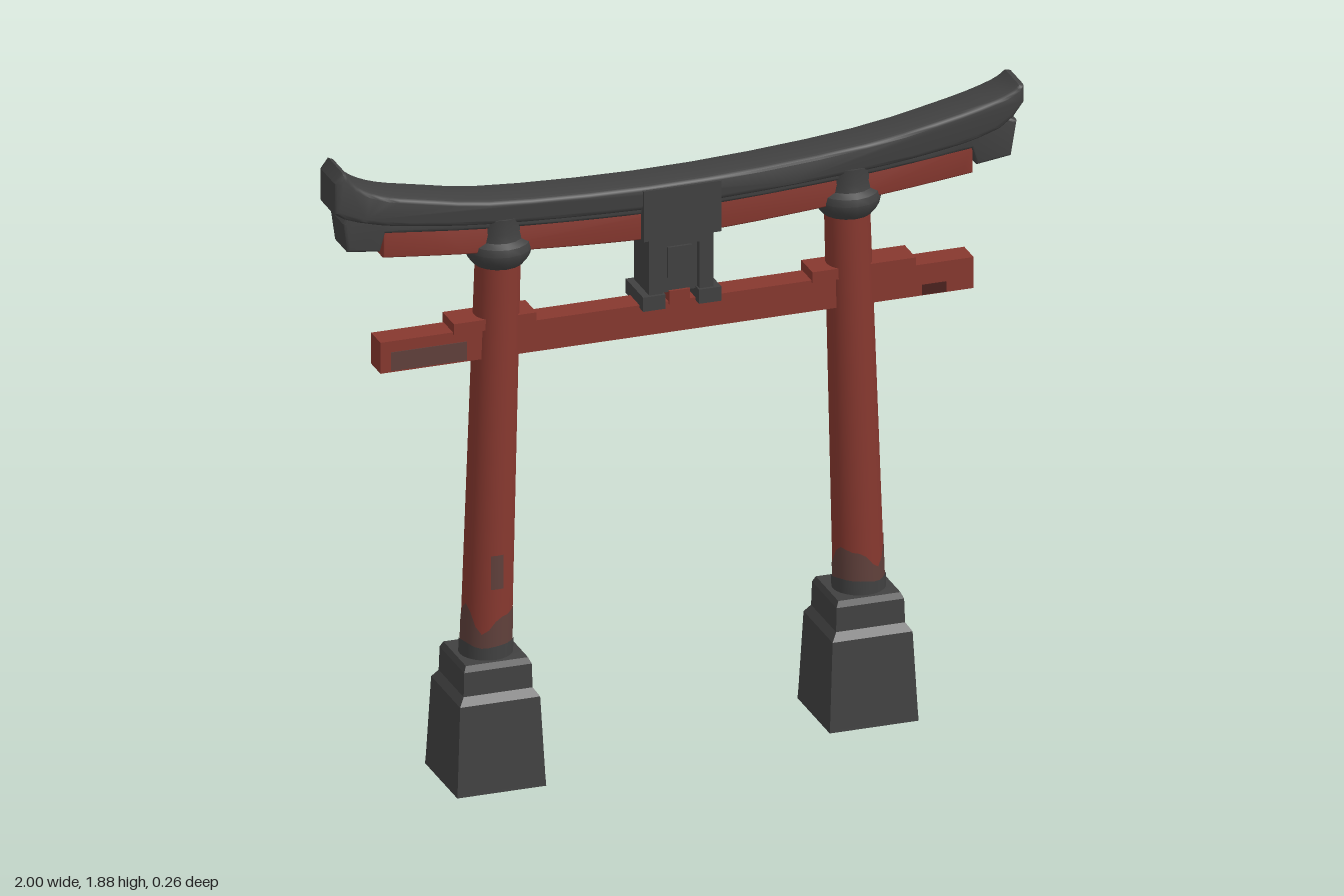
import * as THREE from 'three';
import { toCreasedNormals } from 'three/addons/utils/BufferGeometryUtils.js';

const paint = (name, color) => {
  const m = new THREE.MeshStandardMaterial({ color });
  m.name = name;
  return m;
};

export function createModel() {
  const red = paint('redLacquer', 0x87382f);
  const dark = paint('charcoal', 0x414141);
  const worn = paint('wornLacquer', 0x60403b);
  const shade = paint('deepRed', 0x4a211d);

  const gate = new THREE.Group();
  gate.name = 'gate';

  const add = (name, geometry, material, x = 0, y = 0, z = 0, parent = gate) => {
    const mesh = new THREE.Mesh(geometry, material);
    mesh.name = name;
    mesh.position.set(x, y, z);
    parent.add(mesh);
    return mesh;
  };
  const box = (name, w, h, d, material, x, y, z = 0, parent = gate) =>
    add(name, new THREE.BoxGeometry(w, h, d), material, x, y, z, parent);
  const lathe = (profile, sides, phase = 0, crease = 0.6) =>
    toCreasedNormals(new THREE.LatheGeometry(profile.map(p => new THREE.Vector2(...p)), sides, phase), crease);

  // Curved beam: smooth lower edge, right end, smooth upper edge, left end
  const beam = (name, lower, right, upper, left, depth, bevel, material) => {
    const v = list => list.map(p => new THREE.Vector2(...p));
    const curve = list => new THREE.SplineCurve(v(list)).getPoints(28);
    const shape = new THREE.Shape([...curve(lower), ...v(right), ...curve(upper), ...v(left)]);
    const geometry = new THREE.ExtrudeGeometry(shape, {
      depth: depth - 2 * bevel, steps: 1, bevelEnabled: true,
      bevelThickness: bevel, bevelSize: bevel, bevelOffset: -bevel, bevelSegments: 3,
    });
    geometry.translate(0, 0, bevel - depth / 2);
    return add(name, toCreasedNormals(geometry, 0.6), material, 0, 0, -0.003);
  };

  // Upswept roof ridge
  beam('roofRidge',
    [[-0.93, 1.72], [-0.8, 1.69], [-0.5, 1.655], [0, 1.635], [0.5, 1.655], [0.8, 1.69], [0.93, 1.725]],
    [[0.97, 1.755], [1, 1.795], [1, 1.845]],
    [[0.985, 1.848], [0.94, 1.822], [0.8, 1.785], [0.5, 1.735], [0, 1.708], [-0.5, 1.725],
      [-0.75, 1.766], [-0.86, 1.792], [-0.93, 1.828], [-0.965, 1.872]],
    [[-0.978, 1.878], [-1, 1.848], [-1, 1.755], [-0.97, 1.735]],
    0.128, 0.014, dark);

  // Under-ridge with dropped end blocks
  beam('underRidge',
    [[-0.85, 1.675], [-0.5, 1.64], [0, 1.62], [0.5, 1.64], [0.85, 1.675]],
    [[0.865, 1.625], [0.965, 1.638], [0.982, 1.74]],
    [[0.95, 1.755], [0.5, 1.69], [0, 1.67], [-0.5, 1.69], [-0.95, 1.755]],
    [[-0.972, 1.72], [-0.96, 1.635], [-0.865, 1.622]],
    0.108, 0.008, dark);

  // Red lintel beneath the roof
  beam('lintel',
    [[-0.855, 1.602], [-0.5, 1.568], [0, 1.543], [0.5, 1.568], [0.855, 1.602]],
    [[0.855, 1.69]],
    [[0.84, 1.688], [0.5, 1.655], [0, 1.64], [-0.5, 1.655], [-0.84, 1.688]],
    [[-0.855, 1.69]],
    0.1, 0.004, red);

  // Tie beam, its worn end and chipped corner
  box('tieBeam', 1.72, 0.092, 0.075, red, 0, 1.301);
  box('wornBeamEnd', 0.22, 0.055, 0.004, worn, -0.72, 1.287, 0.038);
  box('beamChip', 0.07, 0.03, 0.004, shade, 0.745, 1.272, 0.038);

  // Leaning posts on stepped bases
  for (const side of [-1, 1]) {
    const post = new THREE.Group();
    post.name = side < 0 ? 'rightPost' : 'leftPost';
    gate.add(post);
    const lift = side < 0 ? 0 : 0.033;
    const axis = y => side * (0.54 - 0.034 * (y - 0.42) / 1.13);
    const radius = y => 0.071 - 0.008 * (y - 0.42) / 1.13;

    // Round skin following the post, with an optional ragged top edge
    const skin = (name, y0, y1, extra, rag, material) => {
      const g = new THREE.CylinderGeometry(1, 1, 1, 24, 8, rag > 0);
      const p = g.attributes.position;
      for (let i = 0; i < p.count; i++) {
        const t = p.getY(i) + 0.5, a = Math.atan2(p.getZ(i), p.getX(i));
        const y = y0 + (y1 - y0) * t + rag * t * (Math.sin(a * 3 + side) + 0.5 * Math.sin(a * 5));
        const r = radius(y) + extra;
        p.setXYZ(i, axis(y) + p.getX(i) * r, y, p.getZ(i) * r);
      }
      add(name, g, material, 0, 0, 0, post);
    };
    skin('shaft', 0.3, 1.6, 0, 0, red);
    skin('wornSleeve', 0.36, 0.485 + lift, 0.0015, 0.03, worn);
    skin('darkNeck', 0.35, 0.412 + lift, 0.004, 0.004, dark);

    // Square stepped plinth
    const r2 = Math.SQRT2;
    const plinth = [[0, 0], [0.129, 0], [0.127, 0.03], [0.116, 0.262], [0.1, 0.285], [0.098, 0.355],
      [0.09, 0.372], [0, 0.374]].map(([r, y]) => [r * r2, y]);
    add('plinth', lathe(plinth, 4, Math.PI / 4, 0.4), dark, side * 0.54, lift, -0.004, post);

    // Capital ring
    add('capital', lathe([[0, 1.525], [0.07, 1.525], [0.088, 1.548], [0.093, 1.57], [0.088, 1.59],
      [0.07, 1.602], [0.066, 1.625], [0.068, 1.67], [0, 1.67]], 16), dark, side * 0.506, 0, 0, post);

    // Wedges on the tie beam
    box('wedge', side < 0 ? 0.24 : 0.3, 0.032, 0.09, red, side < 0 ? -0.53 : 0.54, 1.358, 0, post);
    // Bare patch on the shaft
    if (side < 0) {
      const patch = new THREE.CylinderGeometry(0.0725, 0.0725, 0.1, 8, 1, true, -0.25, 0.5);
      add('wornPatch', patch, worn, axis(0.63), 0.63, 0, post);
    }
  }

  // Central strut with recessed panel
  const strut = new THREE.Group();
  strut.name = 'centreStrut';
  strut.position.set(0.005, 0, -0.004);
  gate.add(strut);
  box('head', 0.226, 0.15, 0.146, dark, 0, 1.622, 0, strut);
  box('panel', 0.13, 0.18, 0.085, dark, 0, 1.465, 0, strut);
  box('panelTop', 0.18, 0.03, 0.118, dark, 0, 1.535, 0, strut);
  for (const s of [-1, 1]) {
    box('pilaster', 0.04, 0.2, 0.122, dark, s * 0.073, 1.455, 0, strut);
    box('foot', 0.065, 0.042, 0.14, dark, s * 0.081, 1.36, 0, strut);
  }
  box('panelBoss', 0.07, 0.09, 0.1, dark, 0, 1.465, 0, strut);
  box('key', 0.06, 0.04, 0.1, red, 0, 1.36, 0, strut);

  return gate;
}
